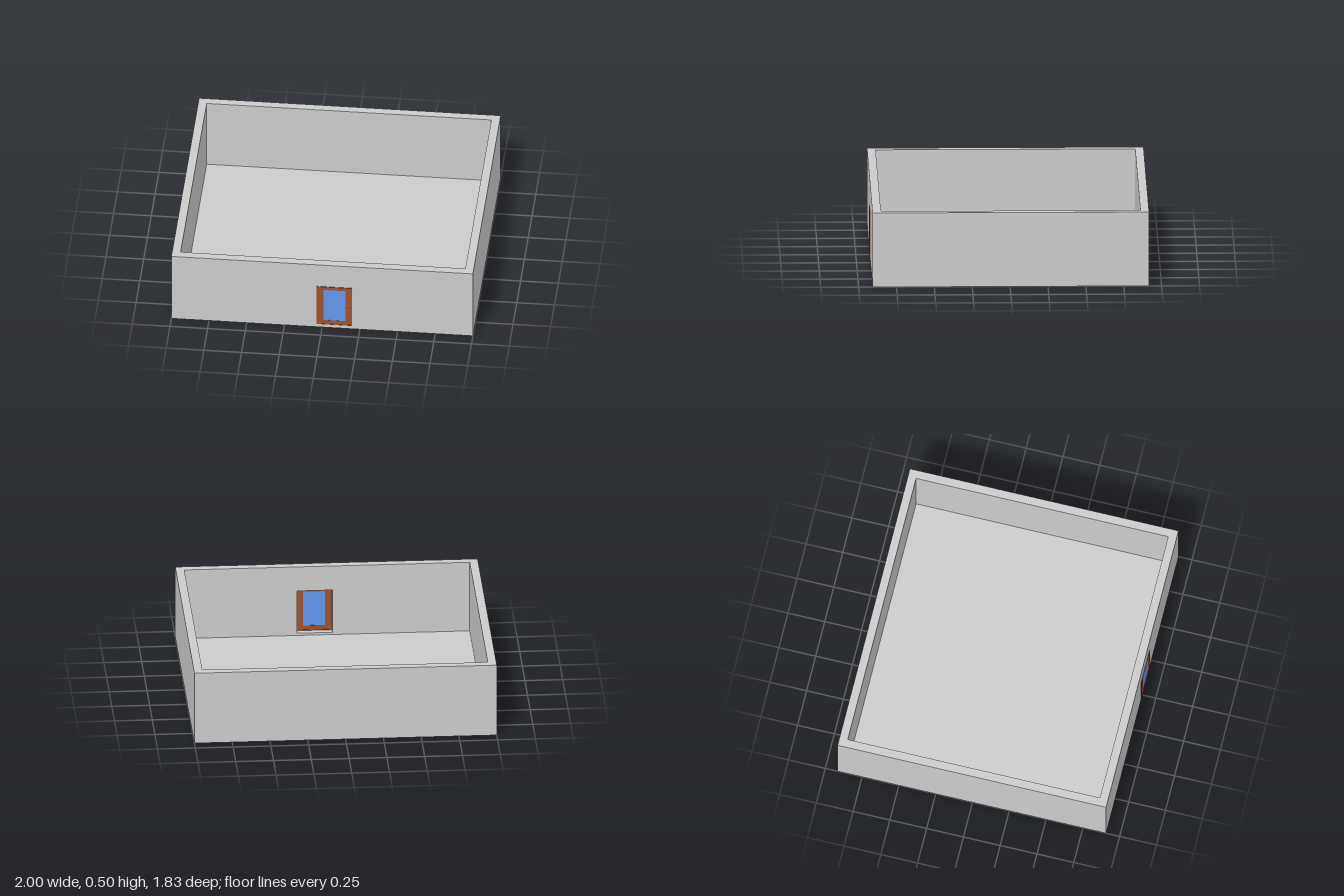
import * as THREE from 'three';

const grey = new THREE.MeshStandardMaterial({ color: 0xcccccc });
const wood = new THREE.MeshStandardMaterial({ color: 0xa0522d });
const blue = new THREE.MeshStandardMaterial({ color: 0x6495ed });

// Outer bounds of the room and the wall thickness
const BACK = -0.917, FRONT = 0.908, HEIGHT = 0.5, WALL = 0.056, FLOOR = 0.01;
// Door opening in the front wall
const DOOR = { x0: -0.036, x1: 0.199, y0: 0.016, y1: 0.328 };

// Box given by its lower and upper limits on each axis
function box(parent, name, material, [x0, x1], [y0, y1], [z0, z1]) {
  const mesh = new THREE.Mesh(new THREE.BoxGeometry(x1 - x0, y1 - y0, z1 - z0), material);
  mesh.position.set((x0 + x1) / 2, (y0 + y1) / 2, (z0 + z1) / 2);
  mesh.name = name;
  parent.add(mesh);
  return mesh;
}

// Rectangular outline, used for shapes and holes
function rect(Type, x0, x1, y0, y1) {
  return new Type([[x0, y0], [x1, y0], [x1, y1], [x0, y1]].map(([x, y]) => new THREE.Vector2(x, y)));
}

// Upright rectangular panel with a rectangular hole, from z0 to z1
function panel(parent, name, material, outer, inner, z0, z1) {
  const shape = rect(THREE.Shape, ...outer);
  shape.holes.push(rect(THREE.Path, ...inner));
  const mesh = new THREE.Mesh(
    new THREE.ExtrudeGeometry(shape, { depth: z1 - z0, bevelEnabled: false }), material);
  mesh.position.z = z0;
  mesh.name = name;
  parent.add(mesh);
}

function createDoor() {
  const door = new THREE.Group();
  door.name = 'door';
  const { x0, x1, y0, y1 } = DOOR;
  const sill = y0 + 0.01, rim = 0.006;

  // Threshold across the wall thickness
  box(door, 'threshold', grey, [x0, x1], [y0, sill], [FRONT - WALL, FRONT + 0.002]);

  // Thin casing, slightly proud of the leaf
  const leaf = [x0 + rim, x1 - rim, sill + 0.004, y1 - rim];
  panel(door, 'doorFrame', wood, [x0, x1, sill, y1], leaf, FRONT - 0.012, FRONT + 0.004);

  // Leaf with its glazed opening
  const glass = [0.01, 0.154, 0.06, 0.302];
  panel(door, 'doorLeaf', wood, leaf, glass, FRONT - 0.009, FRONT + 0.002);
  box(door, 'glass', blue, [glass[0], glass[1]], [glass[2], glass[3]], [FRONT - 0.007, FRONT + 0.001]);

  // Lever handle on both faces
  for (const [name, z, s] of [['outerHandle', FRONT + 0.002, 1], ['innerHandle', FRONT - 0.009, -1]]) {
    const handle = new THREE.Group();
    handle.name = name;
    const spindle = new THREE.Mesh(new THREE.CylinderGeometry(0.003, 0.003, 0.007, 12), grey);
    spindle.name = 'spindle';
    spindle.rotation.x = Math.PI / 2;
    spindle.position.set(0.179, 0.158, 0.0035);
    handle.add(spindle);
    box(handle, 'lever', grey, [0.16, 0.182], [0.156, 0.161], [0.004, 0.007]);
    handle.position.z = z;
    handle.scale.z = s;
    door.add(handle);
  }
  return door;
}

export function createModel() {
  const model = new THREE.Group();
  model.name = 'room';
  const innerX = 1 - WALL, innerZ = [BACK + WALL, FRONT - WALL];

  // Floor slab inside the walls
  box(model, 'floor', grey, [-innerX, innerX], [0, FLOOR], innerZ);

  // Plain walls
  box(model, 'backWall', grey, [-1, 1], [0, HEIGHT], [BACK, BACK + WALL]);
  box(model, 'leftWall', grey, [innerX, 1], [0, HEIGHT], innerZ);
  box(model, 'rightWall', grey, [-1, -innerX], [0, HEIGHT], innerZ);

  // Front wall with the doorway
  panel(model, 'frontWall', grey, [-1, 1, 0, HEIGHT],
    [DOOR.x0, DOOR.x1, DOOR.y0, DOOR.y1], FRONT - WALL, FRONT);
  model.add(createDoor());
  return model;
}
